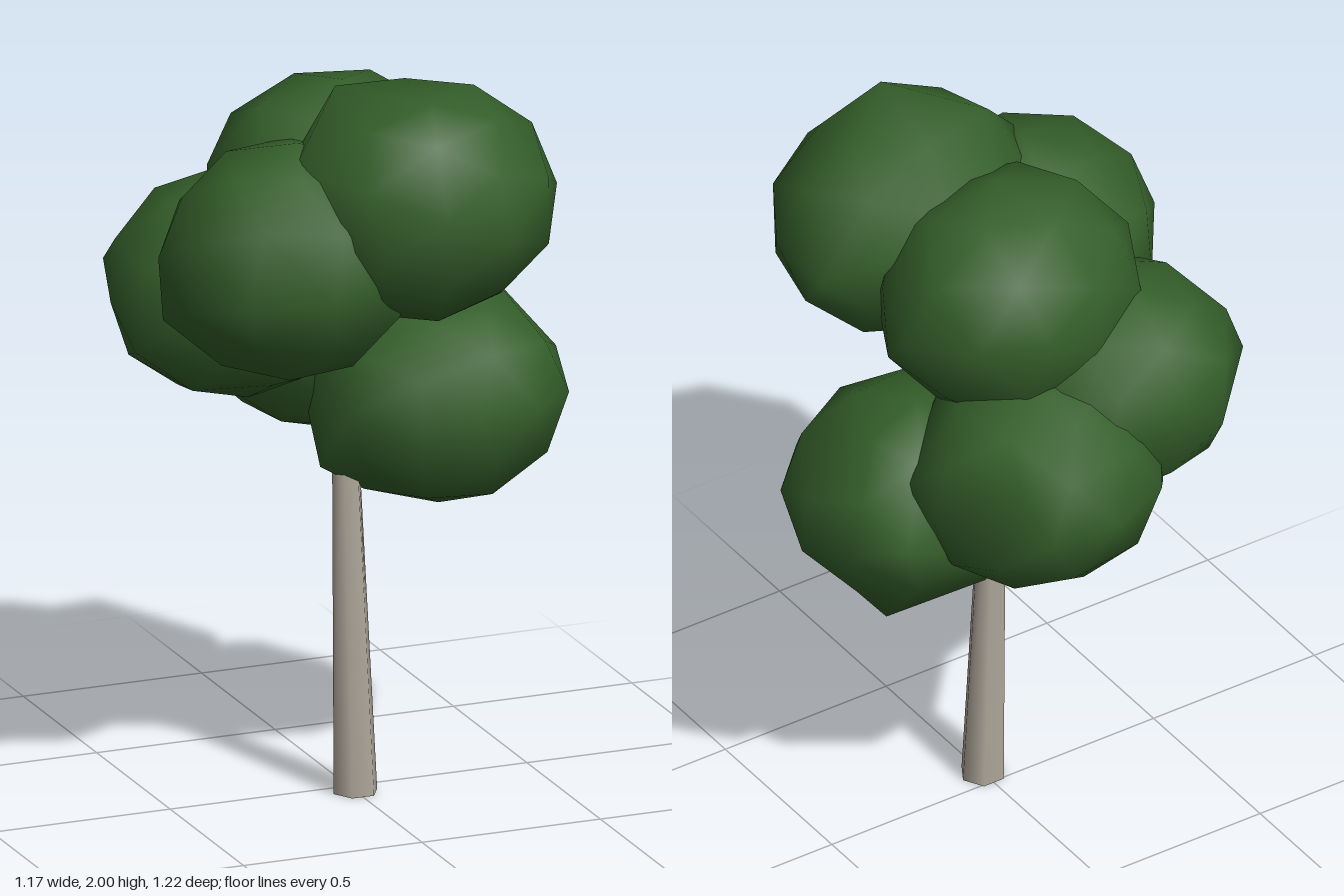
import * as THREE from 'three';
import { mergeVertices } from 'three/addons/utils/BufferGeometryUtils.js';

// Low-poly ellipsoid whose nearest vertices are tugged out to a few corner points
function clumpGeometry(centre, radii, turn, corners) {
  let geo = new THREE.IcosahedronGeometry(1, 1);
  geo.deleteAttribute('normal');
  geo.deleteAttribute('uv');
  geo = mergeVertices(geo, 1e-3);
  geo.rotateX(0.2).rotateY(turn).rotateZ(0.15);
  geo.scale(...radii).translate(...centre);
  const pos = geo.attributes.position;
  const v = new THREE.Vector3();
  for (const corner of corners) {
    const target = new THREE.Vector3(...corner);
    let best = 0;
    let bestDistance = Infinity;
    for (let i = 0; i < pos.count; i++) {
      const d = v.fromBufferAttribute(pos, i).distanceTo(target);
      if (d < bestDistance) {
        best = i;
        bestDistance = d;
      }
    }
    pos.setXYZ(best, ...corner);
  }
  geo.computeVertexNormals();
  return geo;
}

export function createModel() {
  const tree = new THREE.Group();
  tree.name = 'tree';
  const leaf = new THREE.MeshStandardMaterial({ color: 0x345e2a });
  leaf.name = 'leafGreen';
  const bark = new THREE.MeshStandardMaterial({ color: 0xb0a99c, side: THREE.DoubleSide });
  bark.name = 'barkGrey';

  // Trunk: open, tapered hexagonal post, leaning slightly as it rises
  const height = 1.08;
  const trunkGeo = new THREE.CylinderGeometry(0.034, 0.061, height, 6, 1, true);
  trunkGeo.rotateY(Math.PI / 6);
  trunkGeo.translate(0, height / 2, 0);
  const p = trunkGeo.attributes.position;
  for (let i = 0; i < p.count; i++) {
    const t = p.getY(i) / height;
    p.setX(i, p.getX(i) - 0.025 * t);
    p.setZ(i, p.getZ(i) + 0.047 - 0.017 * t);
  }
  const trunk = new THREE.Mesh(trunkGeo, bark);
  trunk.name = 'trunk';
  tree.add(trunk);

  // Foliage: smooth-shaded clumps, each with a few pronounced corners
  const addClump = (name, centre, radii, turn, ...corners) => {
    const mesh = new THREE.Mesh(clumpGeometry(centre, radii, turn, corners), leaf);
    mesh.name = name;
    tree.add(mesh);
  };
  addClump('topFrontFoliage', [0.08, 1.685, 0.303], [0.365, 0.32, 0.316], 0.4,
    [0.435, 1.69, 0.14], [0.05, 1.995, 0.45], [-0.12, 1.99, 0.2], [-0.275, 1.81, 0.3]);
  addClump('rightFrontFoliage', [-0.25, 1.535, 0.205], [0.345, 0.32, 0.325], 1.3,
    [-0.59, 1.4, 0.17], [-0.47, 1.5, 0.475], [-0.25, 1.5, 0.523]);
  addClump('lowLeftFoliage', [0.242, 1.05, 0.01], [0.35, 0.293, 0.328], 2.1,
    [0.41, 0.77, -0.12], [0.43, 1.32, -0.08], [-0.1, 0.9, 0.05], [0.46, 1.1, -0.295]);
  addClump('centreFoliage', [-0.015, 1.605, -0.05], [0.365, 0.33, 0.328], 0.8,
    [-0.375, 1.6, 0], [0.345, 1.6, -0.11], [0.1, 1.4, 0.25]);
  addClump('backFoliage', [0.05, 1.2, -0.285], [0.35, 0.306, 0.324], 1.7,
    [0.27, 1.38, -0.54], [0.39, 1.22, -0.18], [0.05, 1.5, -0.23]);
  addClump('rightBackFoliage', [-0.235, 1.345, -0.205], [0.348, 0.306, 0.326], 2.6,
    [-0.54, 1.4, -0.36], [-0.25, 1.42, -0.53], [-0.575, 1.24, -0.05]);
  return tree;
}
